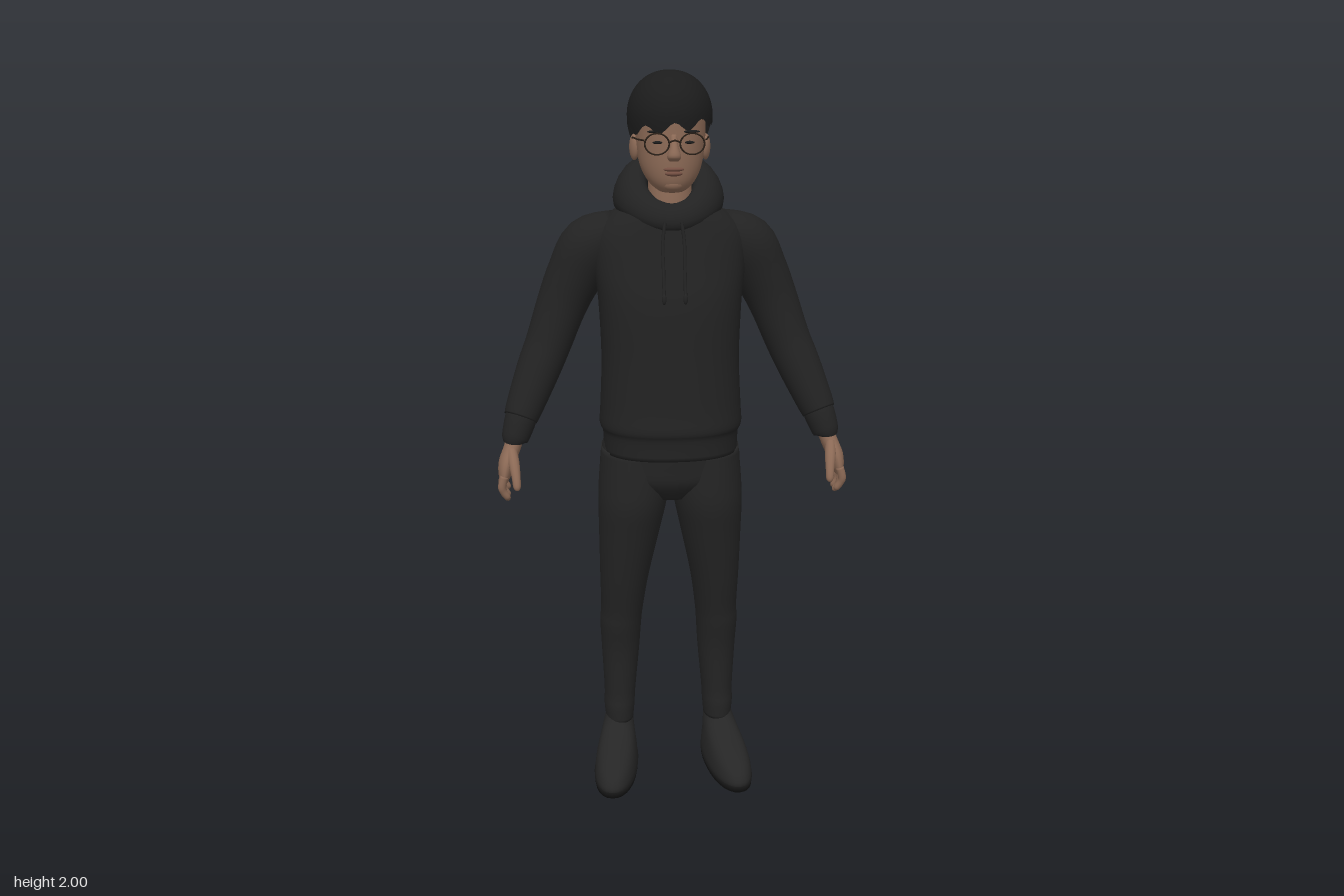
import * as THREE from 'three';

const mat = (name, color, side = THREE.FrontSide) => {
  const m = new THREE.MeshStandardMaterial({ color, side });
  m.name = name;
  return m;
};

// Smooth interpolation between cross-section rows
function refine(rows, steps) {
  const out = [];
  for (let i = 0; i < rows.length - 1; i++) {
    const p0 = rows[Math.max(i - 1, 0)], p1 = rows[i], p2 = rows[i + 1], p3 = rows[Math.min(i + 2, rows.length - 1)];
    for (let k = 0; k < steps; k++) {
      const t = k / steps;
      out.push(p1.map((b, c) => b + 0.5 * t * (p2[c] - p0[c]
        + t * (2 * p0[c] - 5 * b + 4 * p2[c] - p3[c] + t * (3 * (b - p2[c]) + p3[c] - p0[c])))));
    }
  }
  out.push(rows[rows.length - 1]);
  return out;
}

// Closed skin over rows [x, y, z, halfWidth, halfDepth], listed from top to bottom.
// With follow, the sections stand square to the path; power below 1 makes them boxier.
function loft(rows, { follow = false, power = 1, n = 28, steps = 4 } = {}) {
  const r = refine(rows, steps), pos = [], idx = [];
  const at = i => new THREE.Vector3(...r[Math.min(Math.max(i, 0), r.length - 1)].slice(0, 3));
  const bend = w => Math.sign(w) * Math.abs(w) ** power;
  r.forEach((row, i) => {
    const t = follow ? at(i + 1).sub(at(i - 1)).normalize() : new THREE.Vector3(0, -1, 0);
    const v = new THREE.Vector3(0, 0, 1).addScaledVector(t, -t.z).normalize();
    const u = v.clone().cross(t);
    for (let j = 0; j < n; j++) {
      const a = j / n * Math.PI * 2;
      pos.push(...at(i).addScaledVector(u, row[3] * bend(Math.cos(a))).addScaledVector(v, row[4] * bend(Math.sin(a))));
    }
  });
  for (let i = 0; i < r.length - 1; i++) for (let j = 0; j < n; j++) {
    const a = i * n + j, b = i * n + (j + 1) % n;
    idx.push(a, b, a + n, b, b + n, a + n);
  }
  const top = r.length * n, last = top - n;
  pos.push(...at(0), ...at(r.length));
  for (let j = 0; j < n; j++) {
    const k = (j + 1) % n;
    idx.push(top, k, j, top + 1, last + j, last + k);
  }
  return surface(pos, idx);
}

function surface(pos, idx) {
  const g = new THREE.BufferGeometry();
  g.setAttribute('position', new THREE.Float32BufferAttribute(pos, 3));
  g.setIndex(idx);
  g.computeVertexNormals();
  return g;
}

// Folded hood: a ring whose section grows from the throat to the nape
function hoodGeometry() {
  const N = 48, M = 16, pos = [], idx = [];
  for (let i = 0; i < N; i++) {
    const th = i / N * Math.PI * 2, f = (1 - Math.sin(th)) / 2;
    const mix = (a, b, c) => a * (1 - f) * (1 - 2 * f) + 4 * b * f * (1 - f) + c * f * (2 * f - 1);
    const rh = mix(0.024, 0.042, 0.05), rv = mix(0.035, 0.062, 0.088), cy = mix(1.63, 1.69, 1.695);
    for (let j = 0; j < M; j++) {
      const p = j / M * Math.PI * 2, dy = Math.sin(p) * rv, o = Math.cos(p) * rh - 0.3 * dy;
      pos.push(Math.cos(th) * (0.103 + o), cy + dy, -0.045 + Math.sin(th) * (0.104 + o));
      const a = i * M + j, b = i * M + (j + 1) % M, c = ((i + 1) % N) * M + j, d = ((i + 1) % N) * M + (j + 1) % M;
      idx.push(a, b, c, b, d, c);
    }
  }
  return surface(pos, idx);
}

// Hair cap: an egg cut off along a hairline that drops behind the ears
function hairGeometry() {
  const N = 64, M = 18, pos = [], idx = [];
  for (let i = 0; i <= M; i++) for (let j = 0; j < N; j++) {
    const a = j / N * Math.PI * 2, s = Math.sin(a), c = Math.cos(a);
    const back = 1 - THREE.MathUtils.smoothstep(s, -0.4, -0.12);
    const fringe = s > 0.3 ? 0.012 * Math.sin(a * 9) + 0.012 * c : 0;
    const end = Math.acos((1.862 + fringe - 0.107 * back - 1.885) / 0.16);
    const p = end * i / M, h = Math.cos(p), r = Math.sin(p) ** 0.92;
    pos.push(0.112 * r * c, 1.885 + h * (h > 0 ? 0.115 : 0.16), -0.02 + 0.139 * r * s);
    if (i < M) {
      const q = i * N + j, w = i * N + (j + 1) % N;
      idx.push(q, w, q + N, w, w + N, q + N);
    }
  }
  return surface(pos, idx);
}

export function createModel() {
  const model = new THREE.Group();
  const skin = mat('skin', 0x8c6a56), lip = mat('lips', 0x744f42), hair = mat('hair', 0x1c1c1c, THREE.DoubleSide);
  const cloth = mat('hoodie fabric', 0x222222), trousers = mat('trouser fabric', 0x242424);
  const shoe = mat('shoe', 0x262626), sole = mat('sole', 0x151515), frame = mat('glasses frame', 0x2a2018);
  const add = (name, geo, m, parent = model) => {
    const mesh = new THREE.Mesh(geo, m);
    mesh.name = name;
    parent.add(mesh);
    return mesh;
  };
  const ball = (name, m, p, s) => {
    const b = add(name, new THREE.SphereGeometry(1, 20, 14), m);
    b.position.set(...p);
    b.scale.set(...s);
    return b;
  };
  const tube = (name, pts, r, m) =>
    add(name, new THREE.TubeGeometry(new THREE.CatmullRomCurve3(pts.map(p => new THREE.Vector3(...p))), 20, r, 8), m);

  // Head
  add('head', loft([
    [0, 1.95, -0.02, 0.06, 0.08], [0, 1.9, -0.015, 0.09, 0.112], [0, 1.85, -0.012, 0.093, 0.114], [0, 1.8, -0.004, 0.089, 0.107],
    [0, 1.755, 0.012, 0.079, 0.09], [0, 1.72, 0.03, 0.06, 0.066], [0, 1.698, 0.045, 0.034, 0.036], [0, 1.693, 0.045, 0.012, 0.014]]), skin);
  add('neck', loft([[0, 1.78, -0.03, 0.062, 0.062], [0, 1.7, -0.015, 0.058, 0.062], [0, 1.6, -0.02, 0.07, 0.075]]), skin);
  add('nose', loft([[0, 1.845, 0.095, 0.008, 0.008], [0, 1.815, 0.106, 0.011, 0.014], [0, 1.79, 0.11, 0.018, 0.019], [0, 1.778, 0.102, 0.012, 0.012]]), skin);
  ball('upperLip', lip, [0, 1.757, 0.099], [0.027, 0.006, 0.009]);
  ball('lowerLip', lip, [0, 1.746, 0.097], [0.023, 0.007, 0.009]);
  ball('chin', skin, [0, 1.718, 0.075], [0.03, 0.02, 0.021]);
  add('hair', hairGeometry(), hair);
  tube('glassesBridge', [[-0.014, 1.827, 0.129], [0, 1.832, 0.132], [0.014, 1.827, 0.129]], 0.0022, frame);

  // Hoodie body, with a gathered hem
  add('hoodieBody', loft([
    [0, 1.675, -0.05, 0.08, 0.09], [0, 1.635, -0.05, 0.15, 0.115], [0, 1.58, -0.045, 0.2, 0.125], [0, 1.5, -0.03, 0.205, 0.132],
    [0, 1.4, -0.015, 0.194, 0.143], [0, 1.25, -0.008, 0.188, 0.148], [0, 1.12, 0, 0.193, 0.15], [0, 1.065, 0, 0.196, 0.157],
    [0, 1.04, 0, 0.187, 0.149], [0, 0.985, 0, 0.184, 0.147]], { power: 0.85, n: 40 }), cloth);
  add('hood', hoodGeometry(), cloth);

  // Trouser seat
  add('trouserSeat', loft([
    [0, 1.03, -0.01, 0.18, 0.13], [0, 0.95, -0.012, 0.196, 0.126], [0, 0.9, -0.012, 0.17, 0.118], [0, 0.85, -0.01, 0.06, 0.08]],
  { power: 0.85, n: 40 }), trousers);

  for (const s of [1, -1]) {
    const side = s > 0 ? 'left' : 'right';
    const limb = (name, rows, m, opt) => add(side + name, loft(rows.map(([x, ...r]) => [x * s, ...r]), opt), m);
    const path = { follow: true };

    // Face details
    const ear = ball(side + 'Ear', skin, [s * 0.094, 1.805, -0.008], [0.012, 0.034, 0.021]);
    ear.rotation.y = s * -0.3;
    ball(side + 'Eye', hair, [s * 0.04, 1.824, 0.092], [0.014, 0.004, 0.007]);
    ball(side + 'Eyebrow', hair, [s * 0.044, 1.851, 0.091], [0.024, 0.004, 0.009]);
    const ring = add(side + 'GlassesRim', new THREE.TorusGeometry(0.031, 0.0022, 8, 32), frame);
    ring.position.set(s * 0.045, 1.823, 0.126);
    ring.scale.y = 0.85;
    tube(side + 'GlassesTemple', [[s * 0.076, 1.832, 0.125], [s * 0.09, 1.83, 0.06], [s * 0.1, 1.828, -0.005], [s * 0.099, 1.81, -0.025]], 0.0022, frame);

    // Drawstring with its tip
    tube(side + 'Drawstring', [[s * 0.022, 1.62, 0.088], [s * 0.028, 1.57, 0.096], [s * 0.028, 1.5, 0.115], [s * 0.028, 1.43, 0.135]], 0.0045, cloth);
    ball(side + 'DrawstringTip', cloth, [s * 0.028, 1.427, 0.136], [0.006, 0.014, 0.006]);

    // Sleeve and cuff
    limb('Sleeve', [
      [0.13, 1.59, -0.06, 0.05, 0.075], [0.205, 1.54, -0.067, 0.084, 0.088], [0.255, 1.46, -0.07, 0.077, 0.08], [0.292, 1.38, -0.065, 0.069, 0.071],
      [0.33, 1.28, -0.048, 0.063, 0.066], [0.36, 1.21, -0.026, 0.06, 0.063], [0.4, 1.115, 0.012, 0.051, 0.054], [0.412, 1.085, 0.024, 0.046, 0.05]], cloth, path);
    limb('Cuff', [
      [0.405, 1.105, 0.016, 0.04, 0.045], [0.413, 1.08, 0.028, 0.043, 0.048], [0.428, 1.035, 0.045, 0.037, 0.041], [0.43, 1.028, 0.047, 0.03, 0.034]], cloth, path);

    // Hand
    limb('Palm', [
      [0.42, 1.06, 0.035, 0.024, 0.03], [0.437, 1.01, 0.052, 0.023, 0.033], [0.453, 0.97, 0.066, 0.022, 0.045],
      [0.459, 0.935, 0.073, 0.016, 0.045], [0.457, 0.92, 0.075, 0.008, 0.036]], skin, { follow: true, n: 20 });
    for (let i = 0; i < 4; i++) {
      const z = 0.108 - i * 0.023, d = [0.01, 0, 0.004, 0.018][i];
      limb('Finger' + (i + 1), [
        [0.459, 0.945, z, 0.011, 0.012], [0.466, 0.918, z + 0.002, 0.011, 0.011], [0.463, 0.893 + d, z, 0.01, 0.01],
        [0.453, 0.876 + d, z - 0.003, 0.009, 0.009], [0.449, 0.869 + d, z - 0.004, 0.004, 0.004]], skin, { follow: true, n: 12 });
    }
    limb('Thumb', [
      [0.438, 1.01, 0.07, 0.014, 0.016], [0.432, 0.98, 0.105, 0.015, 0.016], [0.427, 0.95, 0.13, 0.012, 0.012],
      [0.425, 0.925, 0.142, 0.01, 0.01], [0.425, 0.916, 0.144, 0.004, 0.004]], skin, { follow: true, n: 12 });

    // Trouser leg, gathered at the knee and ankle
    limb('TrouserLeg', [
      [0.1, 0.99, -0.015, 0.092, 0.122], [0.101, 0.9, -0.012, 0.099, 0.123], [0.107, 0.83, -0.008, 0.096, 0.117], [0.115, 0.75, -0.014, 0.087, 0.106],
      [0.13, 0.6, -0.032, 0.07, 0.09], [0.137, 0.49, -0.052, 0.061, 0.083], [0.141, 0.44, -0.058, 0.06, 0.08], [0.142, 0.35, -0.067, 0.055, 0.071],
      [0.145, 0.22, -0.068, 0.046, 0.064], [0.147, 0.17, -0.066, 0.045, 0.064], [0.147, 0.125, -0.066, 0.041, 0.061]], trousers, { power: 0.95 });

    // Shoe on its sole, toes turned slightly out
    const foot = new THREE.Group();
    foot.name = side + 'Foot';
    foot.position.x = s * 0.158;
    foot.rotation.y = s * 0.13;
    model.add(foot);
    add(side + 'Shoe', loft([
      [0, 0.15, -0.07, 0.034, 0.045], [0, 0.12, -0.06, 0.042, 0.065], [0, 0.1, -0.035, 0.047, 0.091], [0, 0.078, 0.004, 0.053, 0.13],
      [0, 0.055, 0.027, 0.058, 0.157], [0, 0.03, 0.036, 0.061, 0.168], [0, 0.014, 0.036, 0.06, 0.167]], { power: 0.9 }), shoe, foot);
    add(side + 'Sole', loft([[0, 0.018, 0.036, 0.063, 0.169], [0, 0, 0.036, 0.061, 0.167]], { power: 0.9, steps: 1 }), sole, foot);
  }
  return model;
}
